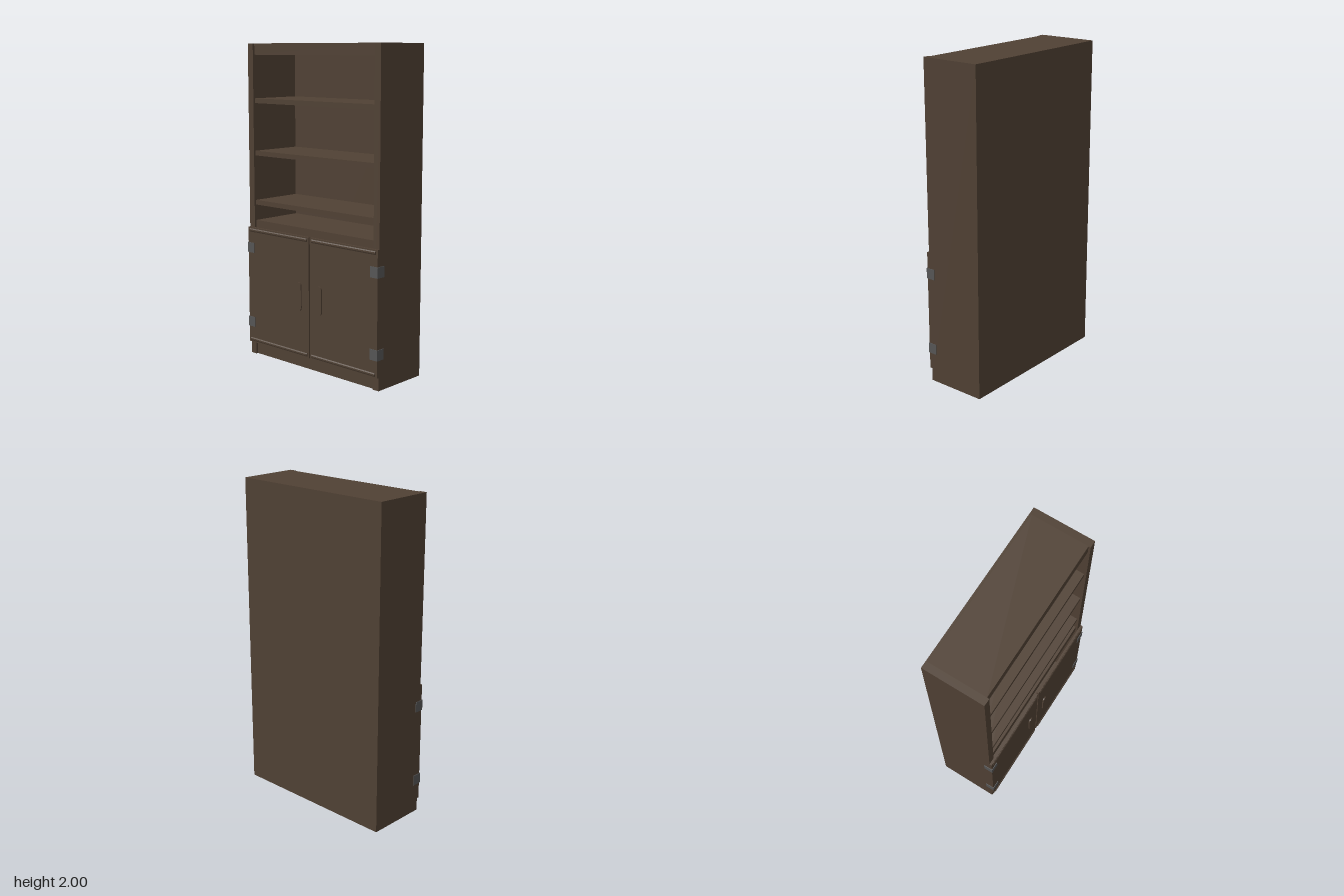
import * as THREE from 'three';

const material = (name, color) => {
  const m = new THREE.MeshStandardMaterial({ color });
  m.name = name;
  return m;
};

export function createModel() {
  const wood = material('darkWood', 0x504134);
  const metal = material('hingeMetal', 0x565656);
  const model = new THREE.Group();
  model.name = 'bookcaseCabinet';

  const add = (name, geometry, mat) => {
    const mesh = new THREE.Mesh(geometry, mat);
    mesh.name = name;
    model.add(mesh);
    return mesh;
  };
  // Box given by its limits on each axis
  const box = (name, x0, x1, y0, y1, z0, z1, mat = wood) =>
    add(name, new THREE.BoxGeometry(x1 - x0, y1 - y0, z1 - z0), mat)
      .position.set((x0 + x1) / 2, (y0 + y1) / 2, (z0 + z1) / 2);

  // Carcass: sides, back and recessed cross boards
  box('leftSide', 0.5, 0.545, 0, 2, -0.203, 0.18);
  box('rightSide', -0.545, -0.5, 0, 2, -0.203, 0.18);
  box('backPanel', -0.5, 0.5, 0, 2, -0.203, -0.188);
  box('topBoard', -0.5, 0.5, 1.93, 2, -0.188, 0.167);
  box('cabinetTop', -0.5, 0.5, 0.82, 0.885, -0.188, 0.167);
  box('plinth', -0.5, 0.5, 0, 0.09, -0.188, 0.167);
  for (const y of [0.985, 1.3, 1.63]) box('shelf', -0.5, 0.5, y, y + 0.03, -0.188, 0.167);

  // Ridge profile for the trim on the doors, drawn in depth and height
  const ridge = new THREE.Shape([
    [0, -0.012], [0.003, -0.012], [0.007, -0.004], [0.007, 0.004], [0.003, 0.01], [0, 0.01],
  ].map(([x, y]) => new THREE.Vector2(x, y)));
  const trim = new THREE.ExtrudeGeometry(ridge, { depth: 0.51, bevelEnabled: false });
  trim.rotateY(-Math.PI / 2).translate(0.255, 0, 0);

  // Long rounded handle plate
  const pill = new THREE.Shape();
  pill.absarc(0, 0.07, 0.02, 0, Math.PI);
  pill.absarc(0, -0.07, 0.02, Math.PI, Math.PI * 2);
  const handle = new THREE.ExtrudeGeometry(pill, { depth: 0.008, bevelEnabled: false, curveSegments: 10 });

  // Doors with trim, handles and corner hinges, mirrored
  for (const s of [1, -1]) {
    const side = s > 0 ? 'left' : 'right';
    const span = (a, b) => (s > 0 ? [a, b] : [-b, -a]);
    box(side + 'Door', ...span(0.005, 0.545), 0.08, 0.84, 0.18, 0.195);
    for (const y of [0.1, 0.822]) {
      const strip = add(side + 'DoorTrim', trim, wood);
      // The extruded profile points outwards along +z after its turn
      strip.position.set(s * 0.275, y, 0.194);
    }
    add(side + 'Handle', handle, wood).position.set(s * 0.086, 0.46, 0.195);
    for (const y of [0.185, 0.675]) {
      box(side + 'HingeFront', ...span(0.49, 0.549), y, y + 0.065, 0.194, 0.199, metal);
      box(side + 'HingeSide', ...span(0.544, 0.549), y, y + 0.065, 0.14, 0.199, metal);
    }
  }
  return model;
}
